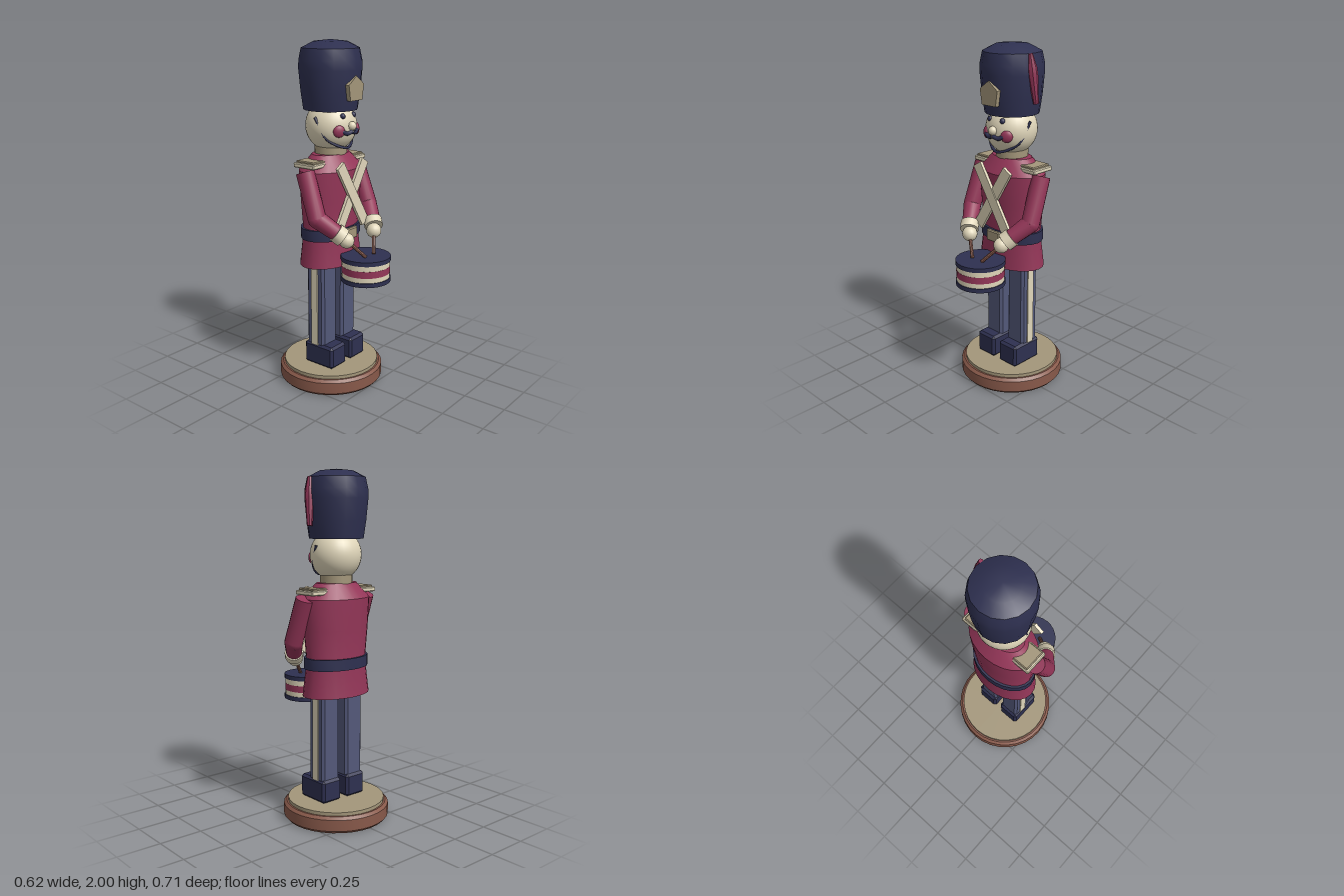
import * as THREE from 'three';
import { toCreasedNormals } from 'three/addons/utils/BufferGeometryUtils.js';
import { ConvexGeometry } from 'three/addons/geometries/ConvexGeometry.js';

const material = (name, color) => {
  const m = new THREE.MeshStandardMaterial({ color });
  m.name = name;
  return m;
};
const V = (x, y, z) => new THREE.Vector3(x, y, z);
const Z = -0.045; // depth of the body axis

export function createModel() {
  const cream = material('cream', 0xe0d6ba);
  const tan = material('tan', 0xa3967a);
  const red = material('red', 0x943658);
  const navy = material('navy', 0x2e3050);
  const trousers = material('slate blue', 0x535879);
  const brown = material('brown', 0x88594a);

  const soldier = new THREE.Group();
  soldier.name = 'toySoldier';

  const add = (name, geometry, mat, x = 0, y = 0, z = 0) => {
    const mesh = new THREE.Mesh(geometry, mat);
    mesh.name = name;
    mesh.position.set(x, y, z);
    soldier.add(mesh);
    return mesh;
  };

  // Turned shape from [radius, y] pairs, smooth around and sharp at the edges
  const turned = (pairs, sides, crease = 0.5) => toCreasedNormals(
    new THREE.LatheGeometry(pairs.map(([r, y]) => new THREE.Vector2(r, y)), sides), crease);

  // Box with every edge cut off by c
  const chamferBox = (w, h, d, c) => {
    const points = [];
    for (const sx of [-0.5, 0.5]) for (const sy of [-0.5, 0.5]) for (const sz of [-0.5, 0.5]) {
      const p = V(sx * w, sy * h, sz * d);
      const cut = V(Math.sign(sx) * c, Math.sign(sy) * c, Math.sign(sz) * c);
      for (const axis of ['x', 'y', 'z']) {
        const q = p.clone().sub(cut);
        q[axis] = p[axis];
        points.push(q);
      }
    }
    return new ConvexGeometry(points);
  };

  // Tapered cylinder running from a to b
  const rod = (name, a, b, ra, rb, mat, sides = 16) => {
    const mid = a.clone().add(b).multiplyScalar(0.5);
    const geometry = toCreasedNormals(new THREE.CylinderGeometry(rb, ra, a.distanceTo(b), sides), 0.7);
    const mesh = add(name, geometry, mat, mid.x, mid.y, mid.z);
    mesh.quaternion.setFromUnitVectors(V(0, 1, 0), b.clone().sub(a).normalize());
    return mesh;
  };

  // Round stand
  add('base', turned([[0, 0], [0.295, 0], [0.308, 0.015], [0.308, 0.08], [0.292, 0.095], [0, 0.095]], 32), brown, 0, 0, Z);
  add('baseTop', turned([[0, 0.09], [0.282, 0.09], [0.282, 0.115], [0, 0.115]], 32), tan, 0, 0, Z);

  // Coat, oval in plan
  const coat = add('coat', turned([[0, 0.735], [0.218, 0.735], [0.192, 0.93], [0.208, 1.12],
    [0.218, 1.29], [0.13, 1.375], [0, 1.375]], 24), red, 0, 0, Z);
  coat.scale.z = 0.68;
  const belt = add('belt', turned([[0.18, 0.893], [0.207, 0.893], [0.207, 0.957], [0.18, 0.957]], 24), navy, 0, 0, Z);
  belt.scale.z = 0.7;
  add('buckle', chamferBox(0.1, 0.066, 0.03, 0.006), tan, 0, 0.922, 0.1);

  // Crossed chest straps
  for (const s of [-1, 1]) {
    const strap = add('chestStrap', new THREE.BoxGeometry(0.064, 0.43, 0.018), cream, 0, 1.15, 0.11 + s * 0.003);
    strap.rotation.z = s * 0.56;
  }

  // Collar and head
  add('collar', new THREE.CylinderGeometry(0.092, 0.092, 0.06, 20), tan, 0, 1.393, Z);
  add('head', new THREE.SphereGeometry(0.146, 32, 24), cream, 0, 1.53, -0.041);
  add('nose', new THREE.SphereGeometry(0.025, 16, 12), cream, 0, 1.538, 0.107);

  // Chin strap
  const chin = new THREE.CatmullRomCurve3([V(-0.142, 1.588, -0.041), V(-0.113, 1.468, 0.02),
    V(0, 1.413, 0.075), V(0.113, 1.468, 0.02), V(0.142, 1.588, -0.041)]);
  add('chinStrap', new THREE.TubeGeometry(chin, 28, 0.008, 6), navy);

  // Tall hat with front plate and plume
  add('hat', turned([[0, 1.62], [0.153, 1.62], [0.167, 1.72], [0.178, 1.84], [0.177, 1.89],
    [0.163, 1.955], [0.095, 1.99], [0, 2]], 16, 0.55), navy, 0, 0, Z);
  const plate = new THREE.Shape([[0, 0.067], [0.066, 0.02], [0.052, -0.066], [-0.052, -0.066], [-0.066, 0.02]]
    .map(([x, y]) => new THREE.Vector2(x, y)));
  add('hatPlate', new THREE.ExtrudeGeometry(plate, { depth: 0.025, bevelEnabled: false }), tan, 0, 1.745, 0.112);
  const plume = add('plume', turned([[0, -0.133], [0.015, -0.133], [0.028, 0.02], [0.027, 0.06], [0.012, 0.133], [0, 0.133]], 8),
    red, 0.174, 1.823, -0.025);
  plume.quaternion.setFromUnitVectors(V(0, 1, 0), V(-0.022, 0.265, 0.024).normalize());

  for (const s of [-1, 1]) {
    // Face
    add('eye', new THREE.SphereGeometry(0.016, 12, 8), navy, s * 0.047, 1.593, 0.078);
    const cheek = add('cheek', new THREE.SphereGeometry(0.034, 16, 12), red, s * 0.078, 1.513, 0.078);
    cheek.scale.z = 0.5;
    cheek.rotation.y = s * 0.6;
    const whisker = new THREE.CatmullRomCurve3([V(0, 1.508, 0.108), V(s * 0.035, 1.499, 0.104), V(s * 0.062, 1.51, 0.093)]);
    add('moustache', new THREE.TubeGeometry(whisker, 8, 0.012, 8), navy);
    add('moustacheTip', new THREE.SphereGeometry(0.012, 10, 8), navy, s * 0.062, 1.51, 0.093);

    // Epaulette
    add('epauletteFringe', chamferBox(0.115, 0.026, 0.147, 0.005), cream, s * 0.178, 1.328, -0.047);
    add('epaulette', chamferBox(0.1, 0.02, 0.13, 0.005), tan, s * 0.172, 1.343, -0.047);

    // Bent arm
    const shoulder = V(s * 0.225, 1.295, -0.042), elbow = V(s * 0.234, 1.045, 0.05);
    const wrist = V(s * 0.157, 0.955, 0.145), hand = V(s * 0.128, 0.921, 0.172);
    rod('upperArm', elbow, shoulder, 0.052, 0.052, red);
    add('elbow', new THREE.SphereGeometry(0.052, 16, 12), red, ...elbow.toArray());
    rod('forearm', elbow, wrist, 0.052, 0.045, red);
    rod('cuff', V(s * 0.17, 0.97, 0.13), V(s * 0.145, 0.94, 0.16), 0.054, 0.054, cream);
    add('hand', new THREE.SphereGeometry(0.044, 16, 12), cream, ...hand.toArray());
    rod('drumstick', hand, V(s * 0.038, 0.815, 0.238), 0.011, 0.01, brown, 8);

    // Leg with outer stripe, and boot
    add('leg', chamferBox(0.126, 0.54, 0.126, 0.014), trousers, s * 0.088, 0.5, -0.043);
    add('legStripe', new THREE.BoxGeometry(0.009, 0.5, 0.046), cream, s * 0.1535, 0.49, -0.043);
    add('boot', chamferBox(0.138, 0.135, 0.21, 0.014), navy, s * 0.09, 0.18, -0.015);
  }

  // Drum, stacked bands from the bottom up
  const bands = [[0.665, 0.69, 0.143, navy], [0.69, 0.718, 0.138, cream], [0.718, 0.757, 0.139, red],
    [0.757, 0.788, 0.138, cream], [0.788, 0.813, 0.143, navy]];
  for (const [y0, y1, r, mat] of bands) {
    add('drumBand', new THREE.CylinderGeometry(r, r, y1 - y0, 28), mat, 0, (y0 + y1) / 2, 0.211);
  }

  return soldier;
}
